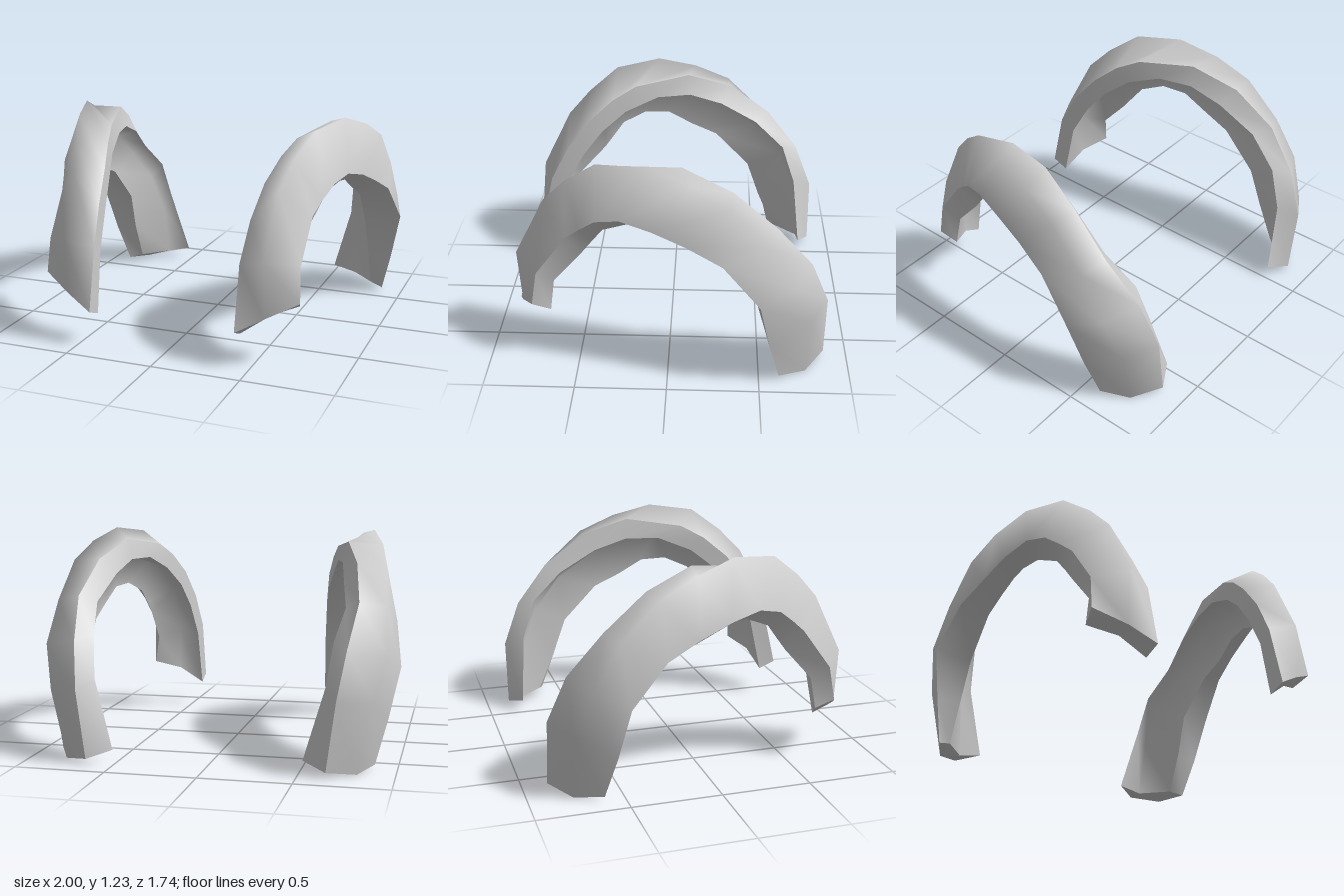
import * as THREE from 'three';

// Rails running along the arch from the front tip, over the top, to the back tip (x, y, z)
const innerEdge = [
  [.42, .20, .87], [.42, .55, .79], [.44, .76, .68], [.47, .93, .54], [.515, 1.05, .40], [.56, 1.125, .26],
  [.66, 1.17, -.07], [.74, 1.07, -.34], [.78, .88, -.58], [.74, .65, -.77], [.70, .40, -.87], [.65, .03, -.87]];
const crown = [
  [.57, .28, .83], [.57, .59, .85], [.59, .93, .68], [.63, 1.07, .55], [.70, 1.20, .38], [.79, 1.23, .12],
  [.86, 1.16, -.11], [.90, 1.06, -.32], [.92, .85, -.53], [.94, .62, -.67], [.88, .38, -.77], [.80, 0, -.76]];
const outerEdge = [
  [.74, .36, .75], [.73, .55, .72], [.74, .78, .55], [.77, .85, .47], [.81, .92, .38], [.85, .95, .25],
  [.89, .91, .08], [.92, .84, -.10], [.96, .75, -.29], [1, .53, -.49], [.94, .25, -.55], [.88, .02, -.61]];
const outerUnder = [
  [.71, .31, .65], [.68, .48, .63], [.68, .66, .47], [.69, .74, .41], [.71, .82, .35], [.75, .88, .21],
  [.78, .87, .06], [.80, .78, -.09], [.80, .71, -.25], [.79, .50, -.46], [.80, .27, -.54], [.80, .04, -.64]];
const hollow = [
  [.56, .26, .73], [.56, .53, .73], [.57, .81, .59], [.60, .93, .47], [.64, 1.03, .34], [.72, 1.06, .13],
  [.76, 1.03, -.09], [.78, .94, -.27], [.79, .78, -.50], [.74, .60, -.66], [.69, .36, -.76], [.66, .04, -.79]];
const innerUnder = [
  [.42, .16, .77], [.43, .50, .70], [.45, .70, .59], [.48, .85, .47], [.53, .97, .32], [.58, 1.05, .12],
  [.63, 1.05, -.08], [.66, .98, -.28], [.70, .84, -.50], [.66, .68, -.68], [.63, .45, -.76], [.52, .07, -.80]];

// Smooth surface through rows of points; side = -1 mirrors it in x
function skin(name, rows, side, material) {
  const ordered = side > 0 ? rows : [...rows].reverse();
  const n = rows[0].length;
  const positions = ordered.flat().flatMap(([x, y, z]) => [x * side, y, z]);
  const index = [];
  for (let r = 0; r < ordered.length - 1; r++) {
    for (let i = 0; i < n - 1; i++) {
      const a = r * n + i, b = a + n;
      index.push(a, b, a + 1, b, b + 1, a + 1);
    }
  }
  const geometry = new THREE.BufferGeometry();
  geometry.setAttribute('position', new THREE.Float32BufferAttribute(positions, 3));
  geometry.setIndex(index);
  geometry.computeVertexNormals();
  const mesh = new THREE.Mesh(geometry, material);
  mesh.name = name;
  return mesh;
}

export function createModel() {
  const model = new THREE.Group();
  model.name = 'fenders';
  const material = new THREE.MeshStandardMaterial({ color: 0xcccccc });
  const last = crown.length - 1;
  const top = i => [innerEdge[i], crown[i], outerEdge[i]];
  const under = i => [innerUnder[i], hollow[i], outerUnder[i]];

  for (const side of [1, -1]) {
    const fender = new THREE.Group();
    fender.name = side > 0 ? 'leftFender' : 'rightFender';
    const parts = {
      outerSkin: [innerEdge, crown, outerEdge],
      archLip: [outerEdge, outerUnder],
      underside: [outerUnder, hollow, innerUnder],
      innerLip: [innerUnder, innerEdge],
      frontEnd: [top(0), under(0)],
      backEnd: [under(last), top(last)],
    };
    for (const [name, rows] of Object.entries(parts)) {
      fender.add(skin(name, rows, side, material));
    }
    model.add(fender);
  }
  return model;
}
